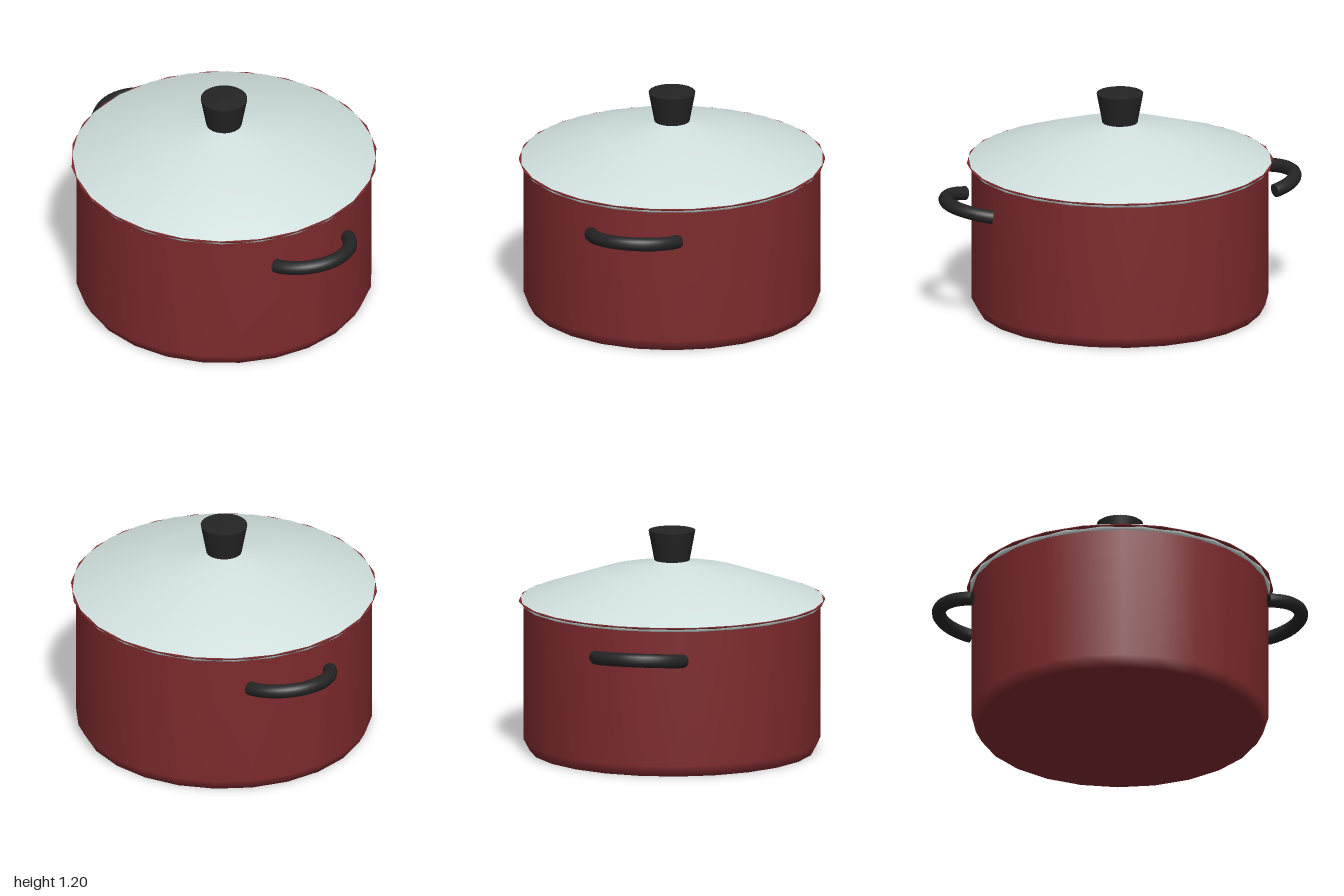
import * as THREE from 'three';

const SEGMENTS = 24;

function material(name, color) {
  const m = new THREE.MeshStandardMaterial({ color });
  m.name = name;
  return m;
}

function mesh(name, geometry, mat) {
  const m = new THREE.Mesh(geometry, mat);
  m.name = name;
  return m;
}

// Revolve [radius, height] pairs, listed from the bottom up on the outside
function turned(name, profile, mat, phase = 0) {
  const points = profile.map(([r, y]) => new THREE.Vector2(r, y));
  return mesh(name, new THREE.LatheGeometry(points, SEGMENTS, phase), mat);
}

// Curved grip with closed ends, bulging towards +x and tilted upwards
function createHandle(name, mat) {
  const radius = 0.245, tube = 0.037, half = 1.29;
  const grip = new THREE.Group();
  const arc = new THREE.TorusGeometry(radius, tube, 12, 20, half * 2);
  arc.rotateZ(-half);
  grip.add(mesh('grip', arc, mat));
  for (const s of [-1, 1]) {
    const cap = new THREE.CircleGeometry(tube, 12);
    cap.rotateX(-s * Math.PI / 2);
    cap.rotateZ(s * half);
    cap.translate(radius * Math.cos(half), s * radius * Math.sin(half), 0);
    grip.add(mesh('gripEnd', cap, mat));
  }
  grip.rotation.x = -Math.PI / 2;

  const handle = new THREE.Group();
  handle.name = name;
  handle.add(grip);
  handle.position.set(0.719, 0.625, 0);
  handle.rotation.z = 0.16;
  return handle;
}

export function createModel() {
  const red = material('red enamel', 0x7e2a2d);
  const pale = material('pale lid', 0xd0e0de);
  const black = material('black grip', 0x242424);
  red.side = pale.side = THREE.DoubleSide;

  const pot = new THREE.Group();
  pot.name = 'cookingPot';

  // Body with a bevelled foot, and the flared rim
  pot.add(turned('body', [[0, 0], [0.755, 0], [0.787, 0.06], [0.787, 0.8]], red));
  pot.add(turned('rim', [[0.785, 0.797], [0.812, 0.804], [0.812, 0.811], [0.76, 0.811]], red));

  // Domed lid, turned half a segment so its edge alternates with the rim
  pot.add(turned('lid', [[0.77, 0.788], [0.797, 0.788], [0.805, 0.815], [0.39, 0.957], [0, 1.025]],
    pale, Math.PI / SEGMENTS));

  // Knob: flared side and shallow cone top
  pot.add(turned('knobSide', [[0.094, 1.024], [0.124, 1.184]], black));
  pot.add(turned('knobTop', [[0.124, 1.184], [0, 1.197]], black));
  pot.add(turned('knobBase', [[0, 1.024], [0.094, 1.024]], black));

  // Handles on both sides
  pot.add(createHandle('leftHandle', black));
  const right = new THREE.Group();
  right.name = 'rightSide';
  right.add(createHandle('rightHandle', black));
  right.rotation.y = Math.PI;
  pot.add(right);

  return pot;
}
